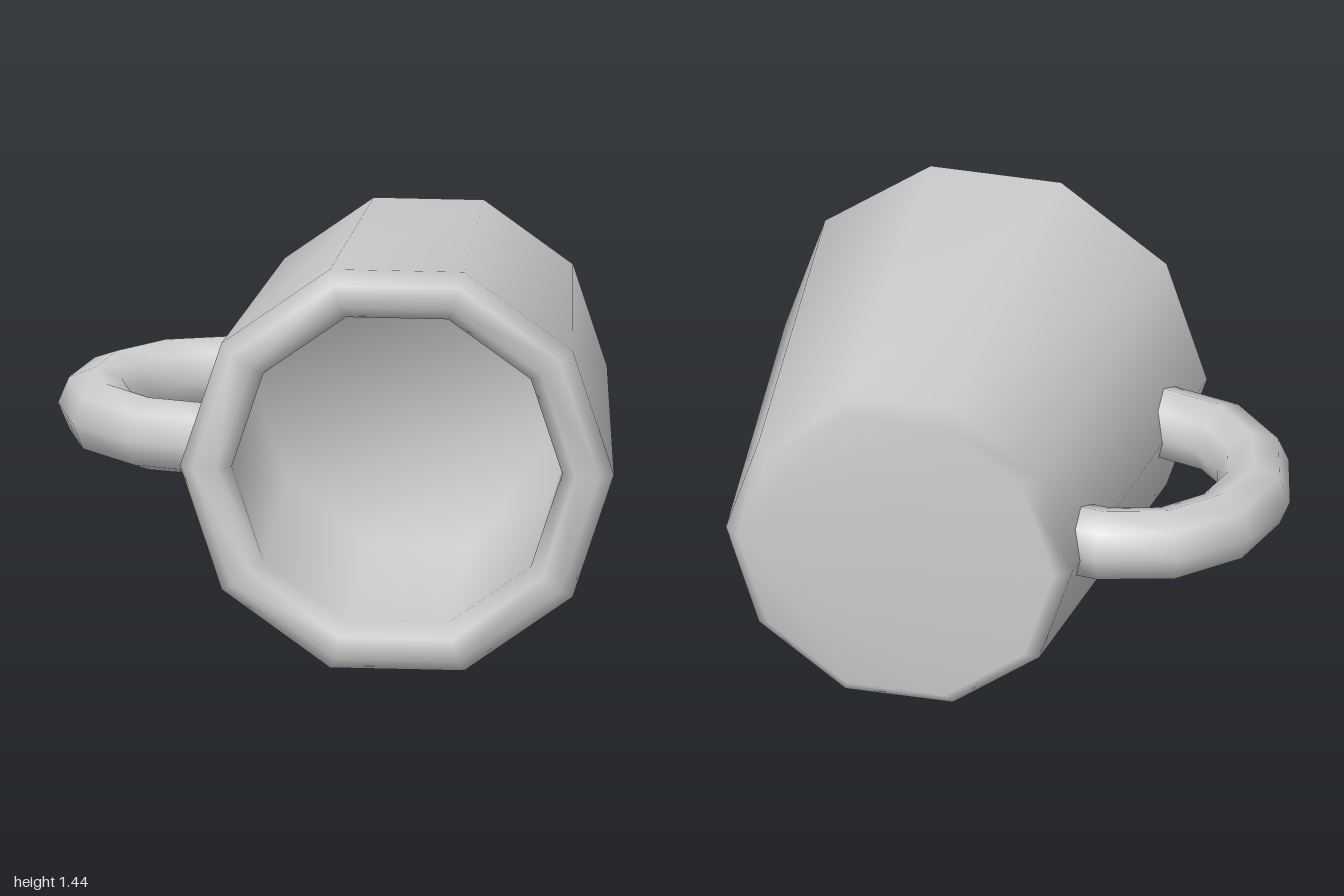
import * as THREE from 'three';

const material = new THREE.MeshStandardMaterial({ color: 0xcccccc });

// Smooth-shaded skin over a list of equal-sized rings, closed by a flat fan at both ends.
function loft(name, rings) {
  const n = rings[0].length;
  const index = [];
  for (let i = 0; i < rings.length - 1; i++) {
    for (let j = 0; j < n; j++) {
      const k = (j + 1) % n;
      const a = i * n + j, b = i * n + k;
      index.push(a, b, b + n, a, b + n, a + n);
    }
  }
  const last = (rings.length - 1) * n;
  for (let j = 1; j < n - 1; j++) {
    index.push(0, j + 1, j);
    index.push(last, last + j, last + j + 1);
  }
  const geometry = new THREE.BufferGeometry();
  geometry.setAttribute('position', new THREE.Float32BufferAttribute(rings.flat(2), 3));
  geometry.setIndex(index);
  geometry.computeVertexNormals();
  const mesh = new THREE.Mesh(geometry, material);
  mesh.name = name;
  return mesh;
}

// Calls fn with n evenly spaced angles around a circle.
const around = (n, fn) => Array.from({ length: n }, (_, j) => fn((j / n) * Math.PI * 2));

export function createModel() {
  const group = new THREE.Group();
  group.name = 'mug';
  const centreX = 0.24, centreY = 0.72;

  // Ten-sided tapered cup lying on its side: radius and z, from the base over the rim to the inner floor
  const profile = [
    [0.565, -0.74], [0.62, -0.69],
    [0.755, 0.69], [0.707, 0.74],
    [0.625, 0.74], [0.575, 0.69],
    [0.575, -0.32],
  ];
  group.add(loft('cup', profile.map(([r, z]) =>
    around(10, (t) => [centreX + r * Math.cos(t), centreY + r * Math.sin(t), z]))));

  // Eight-sided handle bent in 30 degree steps, its ends buried in the cup wall
  const bend = 0.43, tube = 0.13;
  const angles = [-105, -90, -60, -30, 0, 30, 60, 90, 95];
  group.add(loft('handle', angles.map((degrees) => {
    const a = THREE.MathUtils.degToRad(degrees);
    return around(8, (t) => {
      const r = bend + tube * Math.cos(t);
      return [-0.44 - r * Math.cos(a), centreY + 0.005 - tube * Math.sin(t), -0.06 + r * Math.sin(a)];
    });
  })));

  return group;
}
